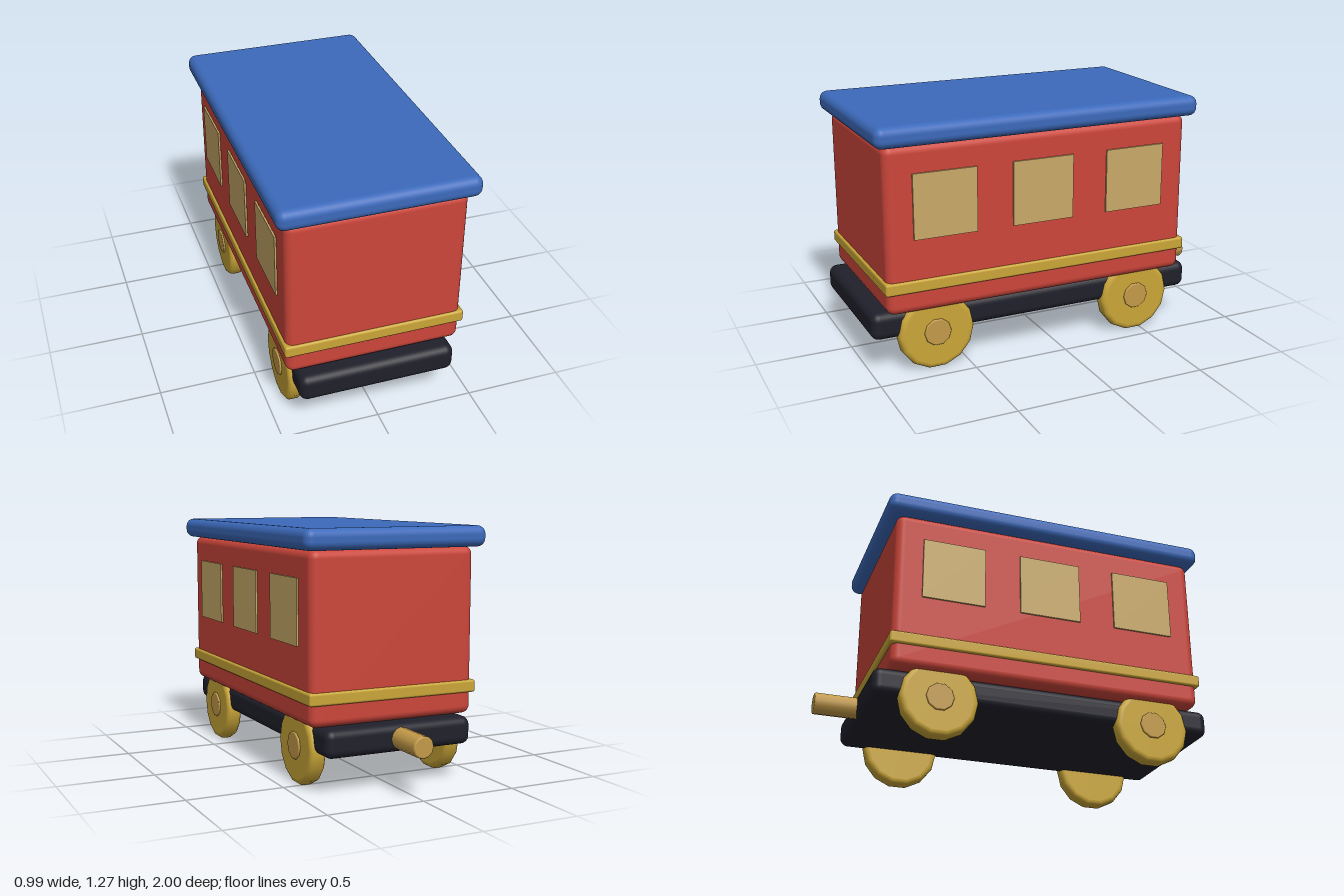
import * as THREE from 'three';
import { RoundedBoxGeometry } from 'three/addons/geometries/RoundedBoxGeometry.js';

const material = (name, color) => {
  const m = new THREE.MeshStandardMaterial({ color });
  m.name = name;
  return m;
};

// Disc along x with rounded rims
function roundedDisc(radius, width, bevel, sides) {
  const h = width / 2, e = 0.002, steps = 4;
  const points = [new THREE.Vector2(0, -h), new THREE.Vector2(radius - bevel - e, -h)];
  for (const end of [-1, 1]) {
    for (let i = 0; i <= steps; i++) {
      const a = (end < 0 ? i / steps - 1 : i / steps) * Math.PI / 2;
      points.push(new THREE.Vector2(radius - bevel + bevel * Math.cos(a), end * (h - bevel) + bevel * Math.sin(a)));
    }
  }
  points.push(new THREE.Vector2(radius - bevel - e, h), new THREE.Vector2(0, h));
  return new THREE.LatheGeometry(points, sides).rotateZ(-Math.PI / 2);
}

export function createModel() {
  const group = new THREE.Group();
  const red = material('red paint', 0xcc463b);
  const blue = material('blue paint', 0x3c6abb);
  const black = material('black paint', 0x20202b);
  const gold = material('yellow paint', 0xcaa638);
  const wood = material('wood', 0xc39a48);
  const cream = material('window cream', 0xc9aa68);

  const add = (name, geometry, mat, x, y, z) => {
    const mesh = new THREE.Mesh(geometry, mat);
    mesh.name = name;
    mesh.position.set(x, y, z);
    group.add(mesh);
    return mesh;
  };
  // Rounded block given by half width and its y and z limits
  const block = (name, mat, halfX, y0, y1, z0, z1, radius) =>
    add(name, new RoundedBoxGeometry(halfX * 2, y1 - y0, z1 - z0, 4, radius), mat, 0, (y0 + y1) / 2, (z0 + z1) / 2);

  // Chassis, cabin, trim band and roof
  block('chassis', black, 0.4, 0.187, 0.328, -0.787, 1, 0.042);
  block('cabin', red, 0.447, 0.326, 1.172, -0.713, 0.93, 0.042);
  block('trimBand', gold, 0.459, 0.437, 0.5, -0.726, 0.942, 0.012);
  block('roof', blue, 0.494, 1.168, 1.273, -0.764, 0.977, 0.042);

  // Coupling peg at the back
  const peg = roundedDisc(0.055, 0.26, 0.008, 12).rotateY(Math.PI / 2);
  add('couplingPeg', peg, wood, 0, 0.257, -0.87);

  // Windows and wheels on both sides
  const pane = new THREE.BoxGeometry(0.0095, 0.328, 0.328);
  const wheel = roundedDisc(0.199, 0.085, 0.026, 14);
  const hub = roundedDisc(0.071, 0.06, 0.006, 10);
  for (const side of [-1, 1]) {
    for (const z of [0.628, 0.108, -0.41]) add('window', pane, cream, side * 0.4535, 0.87, z);
    for (const z of [0.672, -0.459]) {
      add('wheel', wheel, gold, side * 0.378, 0.195, z);
      add('wheelHub', hub, wood, side * 0.4, 0.197, z);
    }
  }
  return group;
}
